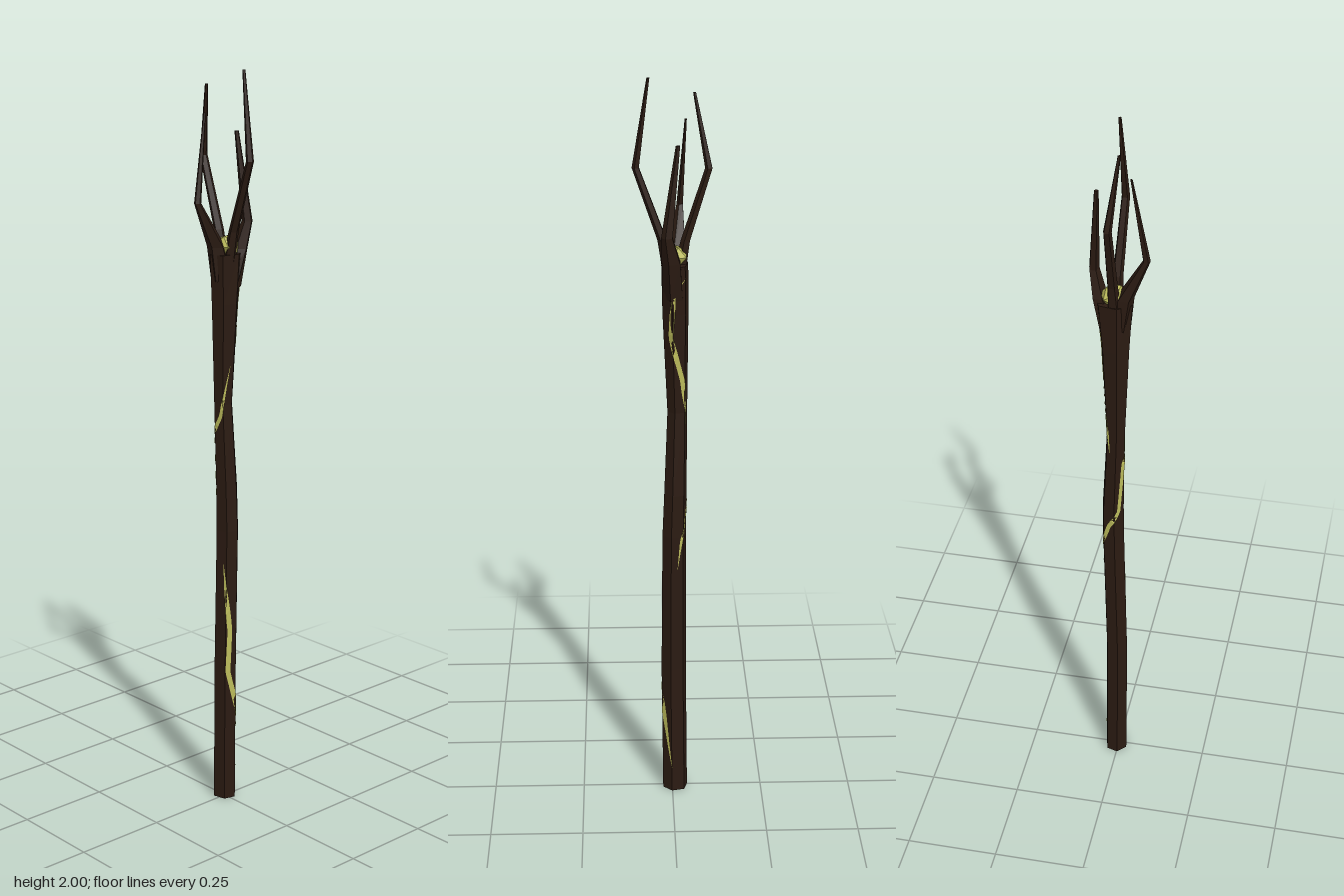
import * as THREE from 'three';

const wood = new THREE.MeshStandardMaterial({ color: 0x2b1b12, flatShading: true });
const glow = new THREE.MeshStandardMaterial({ color: 0xbdbd5c, flatShading: true });
const vein = glow.clone();
vein.side = THREE.DoubleSide;

const rad = THREE.MathUtils.degToRad;

// Builds a mesh from a flat list of points, three per triangle
function mesh(name, points, material) {
  const g = new THREE.BufferGeometry().setFromPoints(points);
  g.computeVertexNormals();
  const m = new THREE.Mesh(g, material);
  m.name = name;
  return m;
}

// Lofts horizontal rings [x, y, z, rx, rz] into a closed faceted limb
const ringPoint = ([x, y, z, rx, rz], a) =>
  new THREE.Vector3(x + rx * Math.cos(a), y, z + rz * Math.sin(a));

function loft(name, rings, sides, turn) {
  const pts = [];
  const at = (r, j) => ringPoint(r, turn + (j * 2 * Math.PI) / sides);
  const first = rings[0], last = rings[rings.length - 1];
  for (let j = 0; j < sides; j++) {
    for (let i = 0; i + 1 < rings.length; i++) {
      const a = at(rings[i], j), b = at(rings[i], j + 1);
      const c = at(rings[i + 1], j + 1), d = at(rings[i + 1], j);
      pts.push(a, d, b, b, d, c);
    }
    pts.push(new THREE.Vector3(...first), at(first, j), at(first, j + 1));
    pts.push(new THREE.Vector3(...last), at(last, j + 1), at(last, j));
  }
  return mesh(name, pts, wood);
}

// Slightly crooked hexagonal shaft, flaring at the head
const SIDES = 6, TURN = rad(15);
const SHAFT = [
  [0.006, 0, -0.008, 0.032, 0.035],
  [0.005, 0.38, -0.004, 0.032, 0.035],
  [0.014, 0.78, -0.005, 0.032, 0.033],
  [0.014, 0.9, -0.008, 0.031, 0.031],
  [0.006, 1.13, -0.013, 0.026, 0.027],
  [0.008, 1.4, -0.008, 0.039, 0.035],
  [0.011, 1.53, -0.006, 0.05, 0.036],
];

// Point on the faceted shaft at an angle and height, lifted by a hair
function onShaft(angle, y) {
  let i = 0;
  while (i < SHAFT.length - 2 && SHAFT[i + 1][1] < y) i++;
  const t = (y - SHAFT[i][1]) / (SHAFT[i + 1][1] - SHAFT[i][1]);
  const ring = SHAFT[i].map((v, k) => THREE.MathUtils.lerp(v, SHAFT[i + 1][k], t));
  const step = (2 * Math.PI) / SIDES;
  const off = THREE.MathUtils.euclideanModulo(angle - TURN, step) - step / 2;
  const k = Math.cos(step / 2) / Math.cos(off);
  ring[3] = ring[3] * k + 0.0015;
  ring[4] = ring[4] * k + 0.0015;
  return ringPoint(ring, angle);
}

// Zigzag ribbon along [angle in degrees, height] points, pointed at both ends
function makeVein(name, path, width) {
  const R = 0.032, N = 10, pts = [];
  const curve = new THREE.CurvePath();
  const flat = path.map(([a, y]) => new THREE.Vector2(rad(a) * R, y));
  for (let i = 0; i + 1 < flat.length; i++) curve.add(new THREE.LineCurve(flat[i], flat[i + 1]));
  const edge = (i) => {
    const t = i / (N * (flat.length - 1));
    const p = curve.getPoint(t), d = curve.getTangent(t);
    const w = (width / 2) * Math.min(1, 4 * t, 4 * (1 - t));
    return [1, -1].map((s) => onShaft((p.x - s * d.y * w) / R, p.y + s * d.x * w));
  };
  for (let i = 0; i < N * (flat.length - 1); i++) {
    const [a, b] = edge(i), [c, d] = edge(i + 1);
    pts.push(a, b, c, b, d, c);
  }
  return mesh(name, pts, vein);
}

export function createModel() {
  const staff = new THREE.Group();
  staff.name = 'staff';
  staff.add(loft('shaft', SHAFT, SIDES, TURN));

  // Four claw prongs bending out and then in to a thin tip
  const prongs = {
    rightProng: [
      [0.0, 1.46, -0.008, 0.032, 0.03],
      [-0.018, 1.55, -0.012, 0.023, 0.027],
      [-0.073, 1.665, -0.022, 0.01, 0.009],
      [-0.037, 1.89, -0.035, 0.003, 0.003],
    ],
    leftProng: [
      [0.02, 1.44, -0.004, 0.034, 0.028],
      [0.05, 1.54, 0.002, 0.021, 0.026],
      [0.066, 1.61, 0.014, 0.014, 0.016],
      [0.053, 1.84, -0.013, 0.006, 0.006],
    ],
    frontProng: [
      [0.008, 1.5, 0.006, 0.02, 0.018],
      [0.008, 1.59, 0.025, 0.014, 0.013],
      [0.002, 1.775, 0.092, 0.011, 0.01],
      [0.01, 2.0, 0.06, 0.004, 0.004],
    ],
    backProng: [
      [0.008, 1.5, -0.018, 0.02, 0.018],
      [0.01, 1.59, -0.034, 0.014, 0.013],
      [0.01, 1.775, -0.092, 0.011, 0.01],
      [-0.012, 1.96, -0.056, 0.004, 0.004],
    ],
  };
  for (const [name, rings] of Object.entries(prongs)) staff.add(loft(name, rings, 5, rad(20)));

  // Faceted crystal held between the prongs
  const gem = new THREE.Mesh(new THREE.IcosahedronGeometry(1, 0), glow);
  gem.name = 'crystal';
  gem.scale.set(0.036, 0.03, 0.036);
  gem.rotation.y = 0.4;
  gem.position.set(0.012, 1.55, -0.006);
  staff.add(gem);

  // Glowing veins winding round the shaft
  staff.add(
    makeVein('lowerVein', [[152, 0.7], [138, 0.62], [112, 0.5], [120, 0.38], [68, 0.27], [12, 0.07]], 0.015),
    makeVein('middleVein', [[92, 1.24], [150, 1.1], [205, 1.05], [228, 0.89], [285, 0.84], [325, 0.77], [345, 0.68]], 0.012),
    makeVein('upperVein', [[-50, 1.5], [5, 1.46], [28, 1.34], [-30, 1.22], [-65, 1.08]], 0.014),
  );
  return staff;
}
